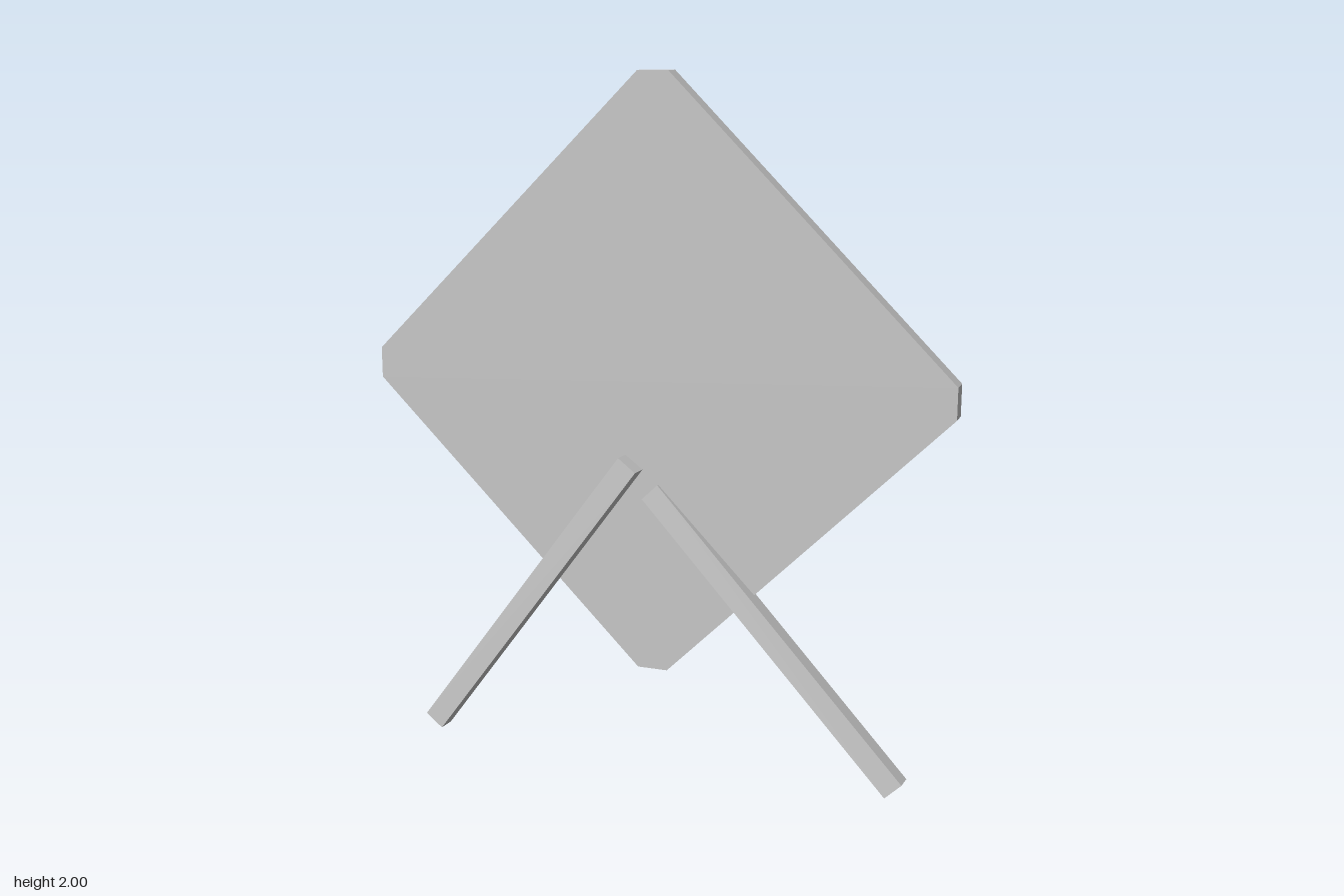
import * as THREE from 'three';

const material = new THREE.MeshStandardMaterial({ color: 0xcccccc, flatShading: true });

// Square-section post running between two end centres, turned about its own axis
function makeLeg(name, top, bottom, width, depth, twist) {
  const a = new THREE.Vector3(...top);
  const b = new THREE.Vector3(...bottom);
  const geometry = new THREE.BoxGeometry(width, a.distanceTo(b), depth);
  geometry.rotateY(twist);
  const y = a.clone().sub(b).normalize();
  const x = new THREE.Vector3().crossVectors(y, new THREE.Vector3(0, 0, 1)).normalize();
  const z = new THREE.Vector3().crossVectors(x, y);
  const mesh = new THREE.Mesh(geometry, material);
  mesh.name = name;
  mesh.quaternion.setFromRotationMatrix(new THREE.Matrix4().makeBasis(x, y, z));
  mesh.position.copy(a).add(b).multiplyScalar(0.5);
  return mesh;
}

export function createModel() {
  const model = new THREE.Group();
  model.name = 'signBoardOnLegs';

  // Diamond board with clipped corners
  const R = 0.865, c = 0.045;
  const outline = [[c, -R], [R, -c], [R, c], [c, R], [-c, R], [-R, c], [-R, -c], [-c, -R]];
  const shape = new THREE.Shape(outline.map(([x, y]) => new THREE.Vector2(x, y)));
  const board = new THREE.Mesh(
    new THREE.ExtrudeGeometry(shape, { depth: 0.058, bevelEnabled: false }), material);
  board.name = 'board';
  board.position.set(0, 1.137, -0.075);
  model.add(board);

  // Right leg lies flat on the board, left leg leans out in front of it
  model.add(makeLeg('rightLeg', [-0.058, 0.898, 0.01], [-0.698, 0.026, 0.01], 0.066, 0.054, -0.07));
  model.add(makeLeg('leftLeg', [-0.005, 0.812, -0.036], [0.748, 0.038, 0.048], 0.066, 0.054, 0));
  return model;
}
